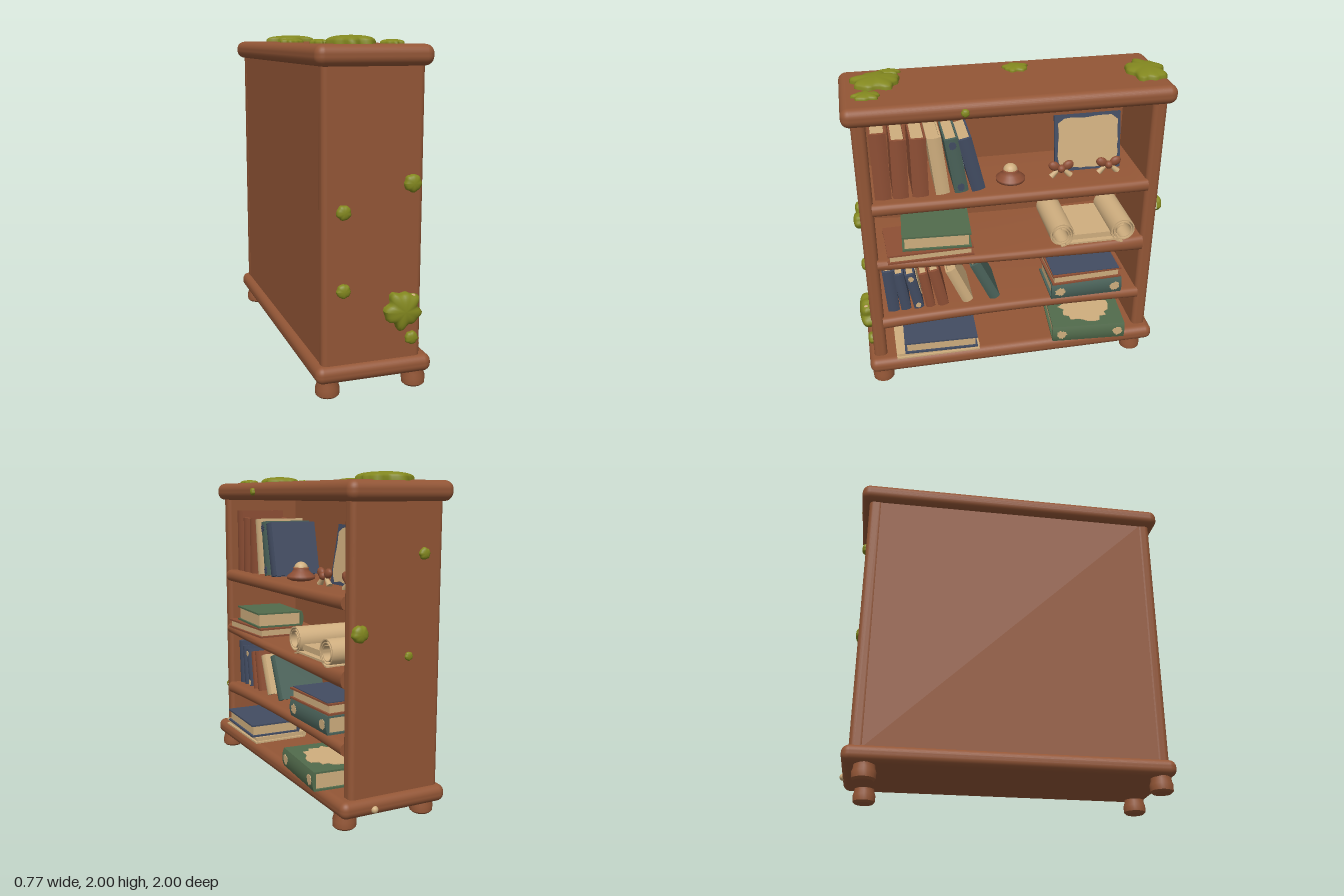
import * as THREE from 'three';
import { toCreasedNormals } from 'three/addons/utils/BufferGeometryUtils.js';
import { RoundedBoxGeometry } from 'three/addons/geometries/RoundedBoxGeometry.js';

const colour = (name, hex, side = THREE.FrontSide) => {
  const m = new THREE.MeshStandardMaterial({ color: hex, side });
  m.name = name;
  return m;
};

export function createModel() {
  const wood = colour('wood', 0x935636);
  const mossGreen = colour('moss', 0x83881f);
  const cream = colour('cream', 0xcfae7e);
  const navy = colour('navy', 0x424c62);
  const green = colour('green', 0x526b4c);
  const teal = colour('teal', 0x4a6259);
  const rust = colour('rust', 0x8e4f35);
  const paper = colour('paper', 0xcfae7f, THREE.DoubleSide);

  const model = new THREE.Group();
  model.name = 'bookcase';
  let seed = 7;
  const rnd = () => (seed = (seed * 16807) % 2147483647) / 2147483647;

  function add(name, geo, mat, x = 0, y = 0, z = 0, parent = model) {
    const m = new THREE.Mesh(geo, mat);
    m.name = name;
    m.position.set(x, y, z);
    parent.add(m);
    return m;
  }
  // Rounded box given by its limits
  function slab(name, x0, x1, y0, y1, z0, z1, r) {
    return add(name, new RoundedBoxGeometry(x1 - x0, y1 - y0, z1 - z0, 4, r), wood,
      (x0 + x1) / 2, (y0 + y1) / 2, (z0 + z1) / 2);
  }

  // Case
  slab('topBoard', -0.385, 0.288, 1.835, 1.95, -0.99, 0.985, 0.05);
  slab('baseBoard', -0.38, 0.315, 0.09, 0.192, -0.978, 0.968, 0.045);
  slab('leftSide', -0.34, 0.25, 0.15, 1.88, 0.85, 0.935, 0.03);
  slab('rightSide', -0.34, 0.25, 0.15, 1.88, -0.94, -0.85, 0.03);
  add('backPanel', new THREE.BoxGeometry(0.05, 1.72, 1.8), wood, -0.312, 1.01, 0);

  // Feet
  const footProfile = [[0, 0], [0.055, 0], [0.068, 0.012], [0.07, 0.05], [0.062, 0.075], [0.062, 0.11]]
    .map(p => new THREE.Vector2(...p));
  for (const x of [-0.295, 0.23]) for (const z of [0.885, -0.845])
    add('foot', toCreasedNormals(new THREE.LatheGeometry(footProfile, 20), 0.7), wood, x, 0, z);

  // Shelves with a rounded front edge; heights follow a curve through left, middle and right
  function shelf(tops, bottoms) {
    const s = new THREE.Shape();
    s.moveTo(-0.3, 0); s.lineTo(0.235, 0);
    s.bezierCurveTo(0.28, 0, 0.28, 1, 0.235, 1);
    s.lineTo(-0.3, 1);
    const g = new THREE.ExtrudeGeometry(s, { depth: 1.72, steps: 16, bevelEnabled: false, curveSegments: 10 });
    g.translate(0, 0, -0.86);
    const p = g.attributes.position;
    const at = ([l, m, r], z) => m + (l - r) / 2 * z / 0.86 + ((l + r) / 2 - m) * (z / 0.86) ** 2;
    for (let i = 0; i < p.count; i++) {
      const z = p.getZ(i), b = at(bottoms, z);
      p.setY(i, b + (at(tops, z) - b) * p.getY(i));
    }
    add('shelf', toCreasedNormals(g, 0.6), wood);
  }
  shelf([1.33, 1.325, 1.33], [1.25, 1.25, 1.25]);
  shelf([0.935, 0.9, 0.915], [0.865, 0.835, 0.81]);
  shelf([0.49, 0.51, 0.5], [0.41, 0.44, 0.425]);

  // Thin worn patch with a ragged outline, lying in the xy plane
  function patch(w, h, square = false) {
    const s = new THREE.Shape(), n = 28;
    for (let i = 0; i < n; i++) {
      const a = i / n * Math.PI * 2, c = Math.cos(a), k = Math.sin(a);
      const f = (square ? 1 / Math.max(Math.abs(c), Math.abs(k)) : 1) * (square ? 0.93 + 0.07 * rnd() : 0.7 + 0.3 * rnd());
      s[i ? 'lineTo' : 'moveTo'](c * f * w / 2, k * f * h / 2);
    }
    return new THREE.ExtrudeGeometry(s, { depth: 0.004, bevelEnabled: false });
  }

  // Book lying flat: spine towards +x, length along z
  function bookBody(name, mat, d, h, t, worn) {
    const g = new THREE.Group(), c = 0.011, e = d / 2 - 0.012;
    g.name = name;
    const s = new THREE.Shape();
    s.moveTo(-d / 2, -t / 2); s.lineTo(e, -t / 2);
    s.quadraticCurveTo(e + 0.024, 0, e, t / 2);
    s.lineTo(-d / 2, t / 2); s.lineTo(-d / 2, t / 2 - c);
    s.lineTo(e - c, t / 2 - c); s.lineTo(e - c, c - t / 2); s.lineTo(-d / 2, c - t / 2);
    const cover = new THREE.ExtrudeGeometry(s, { depth: h, bevelEnabled: false, curveSegments: 6 });
    cover.translate(0, 0, -h / 2);
    add('cover', toCreasedNormals(cover, 0.5), mat, 0, 0, 0, g);
    add('pages', new THREE.BoxGeometry(d - 0.035, t - 2 * c, h - 0.03), cream, -0.003, 0, 0, g);
    if (worn) {
      add('wornCover', patch(d * 0.8, h * 0.8), worn, 0, t / 2, 0, g).rotation.x = -Math.PI / 2;
      for (const k of [-0.4, 0.38])
        add('wornSpine', patch(h * 0.16, t * 0.6), worn, d / 2 - 0.002, 0, k * h, g).rotation.y = Math.PI / 2;
    }
    return g;
  }
  function upright(mat, y, zBottom, zTop, h, t, worn) {
    const g = new THREE.Group(), b = bookBody('book', mat, 0.33, h, t, worn);
    const lean = Math.asin((zTop - zBottom) / h);
    g.name = 'uprightBook';
    b.rotation.x = -Math.PI / 2;
    b.position.y = h / 2;
    g.add(b);
    g.rotation.x = lean;
    g.position.set(0.03, y + Math.abs(Math.sin(lean)) * t / 2, zBottom);
    model.add(g);
  }
  function flat(name, mat, xFront, y, z0, z1, t, d, turn, worn) {
    const b = bookBody(name, mat, d, z1 - z0, t, worn);
    b.rotation.y = turn;
    b.position.set(xFront - d / 2, y + t / 2, (z0 + z1) / 2);
    model.add(b);
  }

  // Upper row of standing books
  [[rust, 0.785, 0.79, 0.43, 0.1], [rust, 0.68, 0.675, 0.38, 0.095], [rust, 0.56, 0.56, 0.38, 0.098],
    [cream, 0.425, 0.465, 0.375, 0.085], [teal, 0.31, 0.365, 0.36, 0.085, navy], [navy, 0.205, 0.285, 0.355, 0.085]]
    .forEach(([m, a, b, h, t, w]) => upright(m, 1.328, a, b, h, t, w));
  // Lower row of standing books
  [[navy, 0.78, 0.8, 0.31, 0.075], [navy, 0.7, 0.735, 0.28, 0.065], [navy, 0.615, 0.665, 0.27, 0.065, cream],
    [rust, 0.54, 0.58, 0.265, 0.06], [rust, 0.455, 0.51, 0.28, 0.07], [cream, 0.29, 0.4, 0.28, 0.07],
    [teal, 0.11, 0.24, 0.31, 0.07]]
    .forEach(([m, a, b, h, t, w]) => upright(m, 0.497, a, b, h, t, w));

  // Stacked flat books
  const back = Math.PI;
  flat('lowerBook', cream, 0.31, 0.192, 0.24, 0.79, 0.042, 0.38, back);
  flat('upperBook', navy, 0.325, 0.235, 0.25, 0.73, 0.085, 0.36, back - 0.03);
  flat('wideBook', green, 0.365, 0.2, -0.76, -0.27, 0.115, 0.4, -0.08, cream);
  flat('lowerBook', teal, 0.29, 0.515, -0.73, -0.25, 0.112, 0.36, 0, cream);
  flat('upperBook', rust, 0.28, 0.628, -0.72, -0.25, 0.07, 0.34, back + 0.04);
  add('blueCover', new THREE.BoxGeometry(0.32, 0.006, 0.45), navy, 0.11, 0.7, -0.485);
  flat('lowerBook', rust, 0.27, 0.918, 0.26, 0.8, 0.062, 0.36, back + 0.03);
  flat('upperBook', green, 0.26, 0.985, 0.26, 0.69, 0.1, 0.33, back - 0.06);

  // Scroll: two spiral rolls joined by a sheet
  function roll(y, z, dir) {
    const s = new THREE.Shape(), pts = [], n = 56;
    for (let i = 0; i <= n; i++) {
      const a = i / n * Math.PI * 5, r = 0.088 - 0.045 * i / n;
      pts.push([dir * Math.sin(a) * r, -Math.cos(a) * r]);
    }
    const inner = pts.map(([a, b]) => [a * 0.9, b * 0.9]).reverse();
    [...pts, ...inner].forEach(([a, b], i) => s[i ? 'lineTo' : 'moveTo'](a, b));
    const g = new THREE.ExtrudeGeometry(s, { depth: 0.4, bevelEnabled: false });
    g.rotateY(Math.PI / 2);
    add('scrollRoll', toCreasedNormals(g, 0.6), paper, -0.12, y, z);
  }
  roll(1.005, -0.305, 1);
  roll(0.995, -0.715, -1);
  add('scrollSheet', new THREE.BoxGeometry(0.4, 0.012, 0.36), paper, 0.08, 0.935, -0.51);
  add('scrollSheetTop', new THREE.BoxGeometry(0.38, 0.035, 0.32), paper, 0.07, 0.968, -0.51);

  // Leaning picture on bow-shaped stands
  const picture = new THREE.Group();
  picture.name = 'picture';
  picture.position.set(0.03, 1.33, -0.525);
  picture.rotation.z = 0.16;
  model.add(picture);
  add('pictureBoard', new THREE.BoxGeometry(0.02, 0.365, 0.43), navy, 0, 0.185, 0, picture);
  add('pictureSheet', patch(0.4, 0.34, true), cream, 0.01, 0.185, 0, picture).rotation.y = Math.PI / 2;
  for (const z of [-0.335, -0.645]) {
    const bow = new THREE.Group();
    bow.name = 'bowStand';
    bow.position.set(0.09, 1.385, z);
    model.add(bow);
    add('knot', new THREE.SphereGeometry(0.026, 14, 10), rust, 0.01, 0, 0, bow);
    for (const k of [-1, 1]) {
      const loop = add('bowLoop', new THREE.SphereGeometry(1, 14, 10), rust, 0, 0.018, k * 0.045, bow);
      loop.scale.set(0.022, 0.03, 0.038);
      loop.rotation.x = -k * 0.5;
      const tail = add('bowTail', new THREE.CylinderGeometry(0.01, 0.02, 0.075, 8), cream, 0, -0.028, k * 0.035, bow);
      tail.rotation.x = -k * 0.8;
    }
  }

  // Ink pot
  const potProfile = [[0, 0], [0.06, 0], [0.09, 0.012], [0.092, 0.03], [0.06, 0.055], [0.048, 0.075], [0.052, 0.085], [0, 0.085]]
    .map(p => new THREE.Vector2(...p));
  add('inkPot', new THREE.LatheGeometry(potProfile, 24), rust, 0.09, 1.327, -0.01);
  add('inkPotLid', new THREE.SphereGeometry(0.046, 18, 8, 0, Math.PI * 2, 0, Math.PI / 2), cream, 0.09, 1.402, -0.01);

  // Moss cushions: domes with a lobed outline
  function moss(x, y, z, rx, rz, h, rot = [0, 0, 0], lobes = 0.16) {
    const g = new THREE.SphereGeometry(1, 36, 10, 0, Math.PI * 2, 0, Math.PI / 2);
    const p = g.attributes.position, a1 = rnd() * 6, a2 = rnd() * 6;
    for (let i = 0; i < p.count; i++) {
      const a = Math.atan2(p.getZ(i), p.getX(i));
      const f = 1 - lobes * 0.5 + lobes * (0.6 * Math.sin(5 * a + a1) + 0.5 * Math.sin(8 * a + a2));
      p.setXYZ(i, p.getX(i) * f * rx, Math.sqrt(Math.max(p.getY(i), 0)) * h, p.getZ(i) * f * rz);
    }
    g.computeVertexNormals();
    add('moss', g, mossGreen, x, y, z).rotation.set(...rot);
  }
  moss(0.0, 1.945, -0.87, 0.175, 0.125, 0.05);
  moss(-0.215, 1.945, -0.1, 0.075, 0.082, 0.03);
  moss(-0.12, 1.945, 0.765, 0.135, 0.15, 0.052);
  moss(0.09, 1.945, 0.83, 0.065, 0.085, 0.03);
  moss(-0.275, 1.945, 0.68, 0.048, 0.075, 0.03);
  moss(0.285, 1.89, 0.29, 0.025, 0.025, 0.025, [0, 0, -Math.PI / 2], 0.05);
  const front = [Math.PI / 2, 0, 0], rear = [-Math.PI / 2, 0, 0];
  moss(0.13, 0.48, 0.93, 0.115, 0.115, 0.07, front);
  [[0.18, 1.2, 0.052], [-0.22, 1.06, 0.043], [-0.22, 0.62, 0.042], [0.19, 0.305, 0.04]]
    .forEach(([x, y, r]) => moss(x, y, 0.93, r, r, r * 0.85, front, 0.06));
  [[0.2, 1.13, 0.05], [-0.21, 1.55, 0.035], [-0.12, 0.98, 0.026]]
    .forEach(([x, y, r]) => moss(x, y, -0.936, r, r, r * 0.85, rear, 0.06));

  // Small pale mushroom caps
  add('mushroomCap', new THREE.SphereGeometry(0.022, 14, 10), cream, 0.11, 0.13, -0.975);
  add('mushroomCap', new THREE.SphereGeometry(0.02, 14, 10), cream, 0.19, 0.55, 0.955);

  return model;
}
